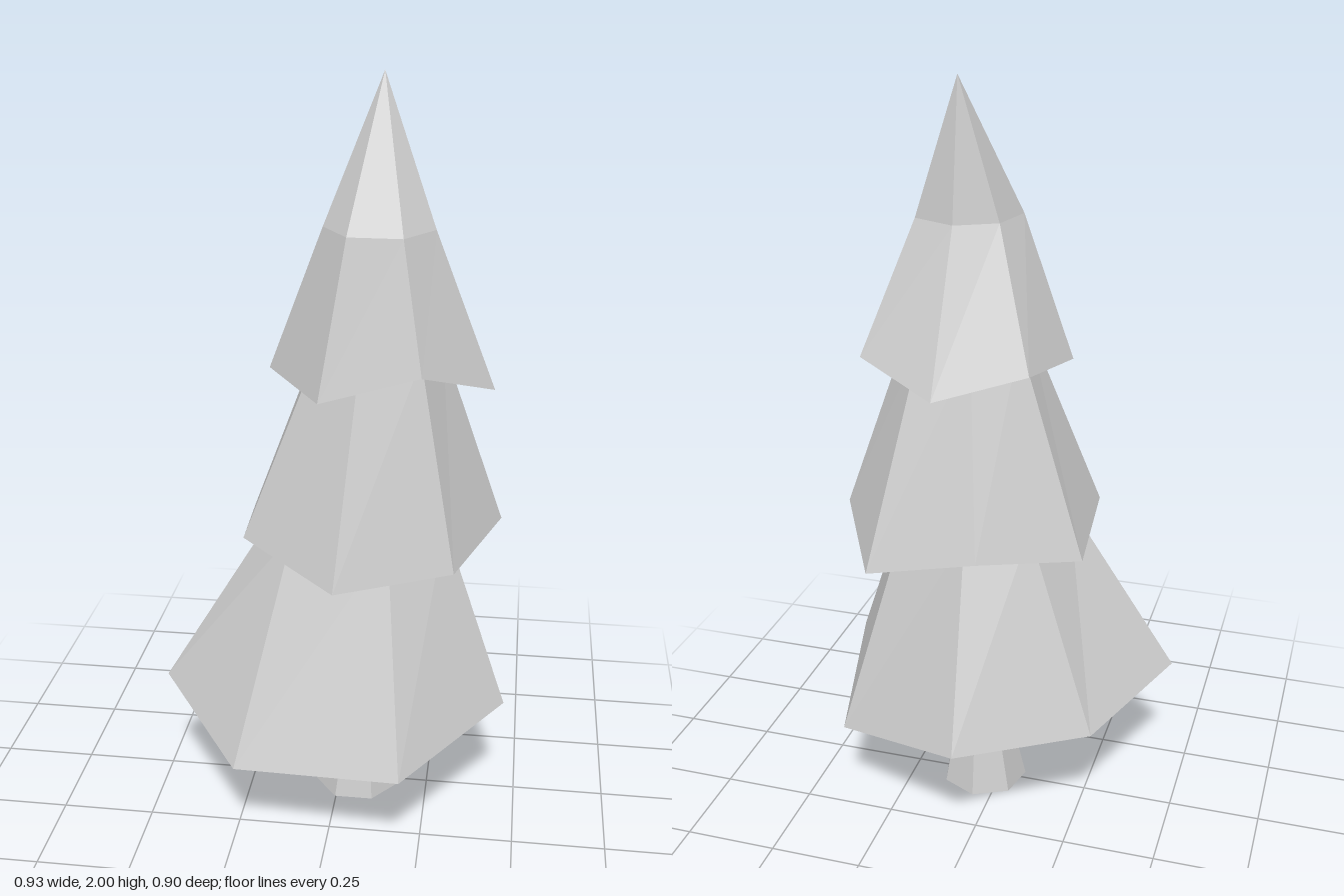
import * as THREE from 'three';

const SIDES = 7;
const material = new THREE.MeshStandardMaterial({
  color: 0xcccccc, flatShading: true, side: THREE.DoubleSide,
});

// Regular ring; the first corner points to the back, then turns towards +x.
function regularRing(cx, cz, radius, y) {
  return Array.from({ length: SIDES }, (_, i) => {
    const a = Math.PI - (i * 2 * Math.PI) / SIDES;
    return [cx + radius * Math.sin(a), y, cz + radius * Math.cos(a)];
  });
}

// Ring at one height from [x, z] corners.
const flatRing = (y, corners) => corners.map(([x, z]) => [x, y, z]);

// Skin a stack of rings, in order from the inside/bottom to the top.
// A ring with one point closes the end.
function loft(name, rings) {
  const positions = [];
  for (let r = 0; r < rings.length - 1; r++) {
    const lower = rings[r], upper = rings[r + 1];
    for (let i = 0; i < SIDES; i++) {
      const l0 = lower[i % lower.length], l1 = lower[(i + 1) % lower.length];
      const u0 = upper[i % upper.length], u1 = upper[(i + 1) % upper.length];
      if (lower.length > 1) positions.push(...l1, ...l0, ...u0);
      if (upper.length > 1) positions.push(...l1, ...u0, ...u1);
    }
  }
  const geometry = new THREE.BufferGeometry();
  geometry.setAttribute('position', new THREE.Float32BufferAttribute(positions, 3));
  geometry.computeVertexNormals();
  const mesh = new THREE.Mesh(geometry, material);
  mesh.name = name;
  return mesh;
}

export function createModel() {
  const tree = new THREE.Group();
  tree.name = 'pineTree';

  // Trunk: flared foot, narrow waist, flaring again under the branches
  const trunkTop = regularRing(0.05, 0, 0.11, 0.31);
  tree.add(loft('trunk', [
    [[0.05, 0, 0]],
    regularRing(0.05, 0, 0.12, 0),
    regularRing(0.055, 0, 0.078, 0.2),
    trunkTop,
  ]));

  // Lower tier: underside, uneven rim, narrowing upwards
  const lowerRim = [
    [0, 0.36, -0.45], [0.37, 0.27, -0.275], [0.46, 0.36, 0.13], [0.205, 0.3, 0.45],
    [-0.23, 0.275, 0.405], [-0.465, 0.38, 0.13], [-0.31, 0.33, -0.21],
  ];
  const lowerTop = flatRing(0.86, [
    [0.04, -0.2], [0.23, -0.11], [0.285, 0.085], [0.148, 0.215],
    [-0.1, 0.2], [-0.17, 0.08], [-0.11, -0.11],
  ]);
  tree.add(loft('lowerBranches', [trunkTop, lowerRim, lowerTop]));

  // Middle tier
  const middleRim = [
    [-0.03, 0.86, -0.33], [0.28, 0.77, -0.29], [0.43, 0.84, -0.02], [0.32, 0.81, 0.27],
    [0.025, 0.78, 0.363], [-0.23, 0.84, 0.19], [-0.255, 0.8, -0.12],
  ];
  const middleTop = flatRing(1.34, [
    [0.05, -0.1], [0.19, -0.08], [0.265, 0.05], [0.22, 0.178],
    [0.073, 0.208], [-0.04, 0.125], [-0.05, 0],
  ]);
  tree.add(loft('middleBranches', [lowerTop, middleRim, middleTop]));

  // Upper tier: skirt, shoulder ring and pointed tip leaning backwards
  const upperRim = [
    [0.105, 1.25, -0.255], [0.33, 1.31, -0.145], [0.4, 1.24, 0.09], [0.23, 1.33, 0.29],
    [-0.02, 1.255, 0.29], [-0.17, 1.275, 0.09], [-0.115, 1.3, -0.145],
  ];
  const shoulder = flatRing(1.645, [
    [0.105, -0.065], [0.22, -0.015], [0.245, 0.11], [0.175, 0.213],
    [0.04, 0.213], [-0.03, 0.11], [0, -0.01],
  ]);
  tree.add(loft('upperBranches', [middleTop, upperRim, shoulder, [[0.105, 2, -0.01]]]));

  return tree;
}
